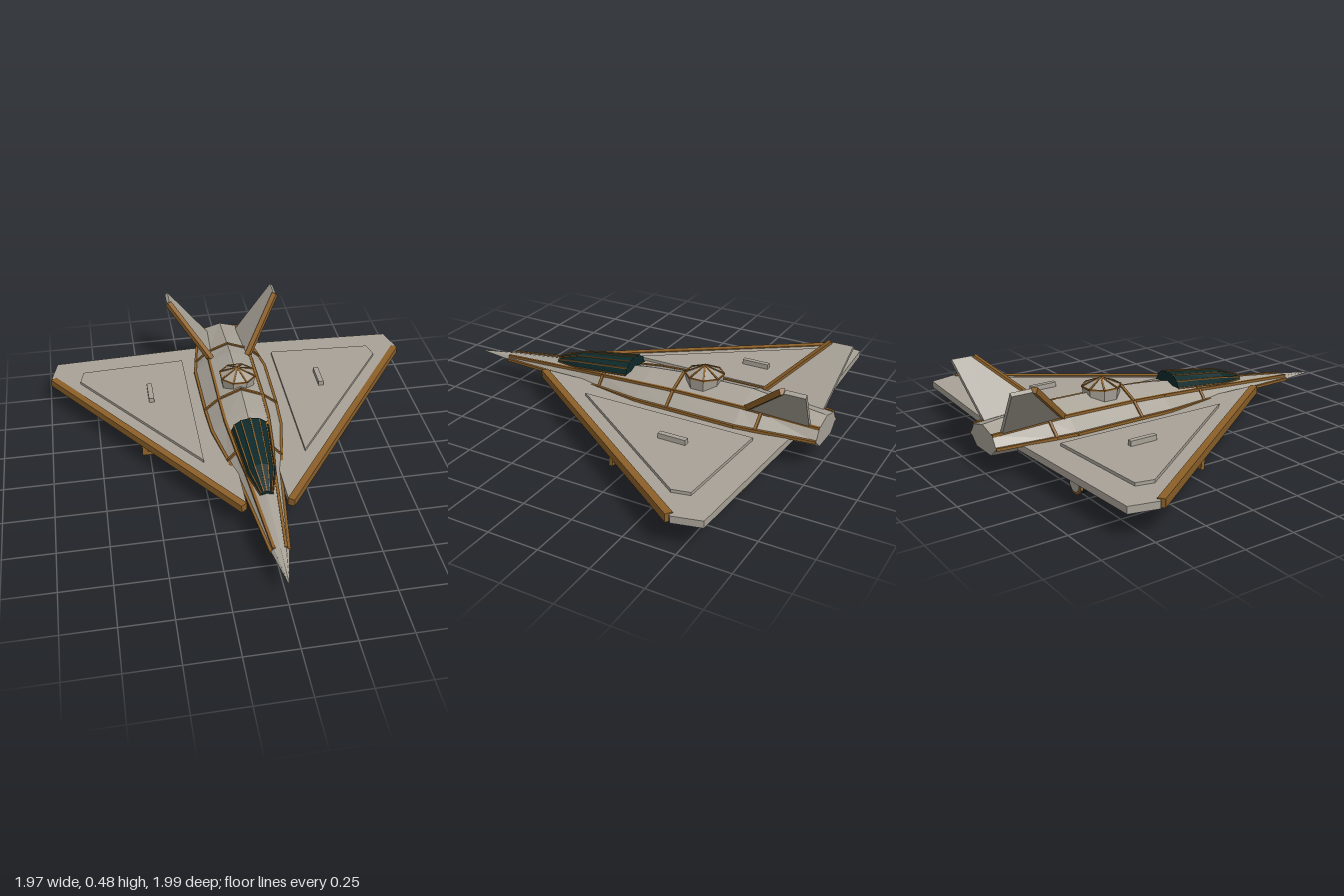
import * as THREE from 'three';

const mat = (name, color) => {
  const m = new THREE.MeshStandardMaterial({ color, flatShading: true });
  m.name = name;
  return m;
};

export function createModel() {
  const hull = mat('hull grey', 0xa8a297);
  const bronze = mat('bronze trim', 0x8c6029);
  const dark = mat('dark teal', 0x0e2a2b);
  const root = new THREE.Group();
  root.name = 'deltaJet';
  const V = (x, y, z) => new THREE.Vector3(x, y, z);

  const add = (name, geo, material, x = 0, y = 0, z = 0) => {
    const m = new THREE.Mesh(geo, material);
    m.name = name;
    m.position.set(x, y, z);
    root.add(m);
    return m;
  };
  const box = (name, material, w, h, d, x, y, z) => add(name, new THREE.BoxGeometry(w, h, d), material, x, y, z);

  // straight strip between two points
  const bar = (name, a, b, w, h = w, material = bronze) => {
    const m = box(name, material, w, h, a.distanceTo(b), 0, 0, 0);
    m.position.copy(a).add(b).multiplyScalar(0.5);
    m.lookAt(b);
    return m;
  };
  const path = (name, pts, w) => pts.slice(1).forEach((p, i) => bar(name, pts[i], p, w));

  // skin over rings ordered front to back, each counter-clockwise from the front
  const loft = (rings) => {
    const out = [], n = rings[0].length;
    const tri = (...ps) => ps.forEach((p) => out.push(p.x, p.y, p.z));
    for (let i = 0; i < rings.length - 1; i++) {
      for (let j = 0; j < n; j++) {
        const k = (j + 1) % n, A = rings[i], B = rings[i + 1];
        tri(A[j], B[j], A[k]);
        tri(A[k], B[j], B[k]);
      }
    }
    const F = rings[0], R = rings[rings.length - 1];
    for (let j = 1; j < n - 1; j++) {
      tri(F[0], F[j], F[j + 1]);
      tri(R[0], R[j + 1], R[j]);
    }
    const g = new THREE.BufferGeometry();
    g.setAttribute('position', new THREE.Float32BufferAttribute(out, 3));
    g.computeVertexNormals();
    return g;
  };

  // flat plate: outline in (distance along u, z), thickness centred on the origin plane
  const plate = (name, outline, t, u, origin) => {
    const shape = new THREE.Shape(outline.map(([s, z]) => new THREE.Vector2(s, z)));
    const g = new THREE.ExtrudeGeometry(shape, { depth: t, bevelEnabled: false });
    g.translate(0, 0, -t / 2);
    const zAxis = V(0, 0, 1);
    g.applyMatrix4(new THREE.Matrix4().makeBasis(u, zAxis, u.clone().cross(zAxis)));
    return add(name, g, hull, origin.x, origin.y, origin.z);
  };

  // fuselage: z, ridge y, shoulder x y, side x y, bottom x y
  const sections = [
    [0.99, 0.122, 0.002, 0.121, 0.002, 0.12, 0.001, 0.118],
    [0.79, 0.15, 0.028, 0.143, 0.042, 0.127, 0.02, 0.115],
    [0.3, 0.213, 0.07, 0.188, 0.104, 0.147, 0.06, 0.11],
    [0.155, 0.235, 0.09, 0.205, 0.135, 0.156, 0.08, 0.11],
    [-0.08, 0.268, 0.112, 0.225, 0.18, 0.165, 0.105, 0.11],
    [-0.26, 0.282, 0.115, 0.233, 0.19, 0.17, 0.11, 0.11],
    [-0.62, 0.285, 0.115, 0.235, 0.195, 0.17, 0.11, 0.11],
    [-0.72, 0.273, 0.11, 0.23, 0.18, 0.168, 0.1, 0.11],
    [-1.0, 0.24, 0.095, 0.214, 0.13, 0.16, 0.075, 0.113],
  ];
  const rings = sections.map(([z, ty, sx, sy, wx, wy, bx, by]) => [
    V(0, ty, z), V(-sx, sy, z), V(-wx, wy, z), V(-bx, by, z),
    V(bx, by, z), V(wx, wy, z), V(sx, sy, z),
  ]);
  add('fuselage', loft(rings), hull);

  // trim along the hull edges and hoops around it
  for (const j of [1, 2, 5, 6]) path('hullEdgeTrim', rings.slice(1).map((r) => r[j]), 0.014);
  for (const i of [3, 5, 7]) path('hullHoop', [...rings[i], rings[i][0]], 0.014);

  // faceted canopy with lengthwise ribs
  const canopy = [[0.47, 0.03, 0.185, 0.02], [0.33, 0.068, 0.198, 0.06], [0.02, 0.095, 0.238, 0.064]].map(
    ([z, rx, y, h]) => Array.from({ length: 7 }, (_, i) => {
      const a = (i / 6) * Math.PI;
      return V(rx * Math.cos(a), y + h * Math.sin(a), z);
    }));
  add('canopy', loft(canopy), dark);
  for (let j = 0; j < 7; j++) path('canopyRib', canopy.map((r) => r[j]), 0.006);

  // octagonal dorsal dome
  const dz = -0.37, turn = Math.PI / 8;
  const drum = add('domeBase', new THREE.CylinderGeometry(0.095, 0.088, 0.06, 8), hull, 0, 0.275, dz);
  const cone = add('domeRoof', new THREE.CylinderGeometry(0.012, 0.095, 0.038, 8), hull, 0, 0.324, dz);
  drum.rotation.y = cone.rotation.y = turn;
  const corner = (i) => V(0.095 * Math.cos(i * 2 * turn + turn), 0.305, dz + 0.095 * Math.sin(i * 2 * turn + turn));
  for (let i = 0; i < 8; i++) {
    bar('domeRib', corner(i), V(0, 0.344, dz), 0.009);
    bar('domeRim', corner(i), corner(i + 1), 0.007);
  }

  // belly panel
  box('bellyPanel', dark, 0.17, 0.016, 0.47, 0, 0.064, -0.235);
  box('bellyPanelStrip', bronze, 0.01, 0.006, 0.47, 0, 0.054, -0.235);

  for (const s of [1, -1]) {
    // delta wing, leading edge, raised panel and its small block
    const out = V(s, 0, 0);
    plate('wing', [[0.1, 0.49], [0.97, -0.7], [0.98, -0.71], [0.945, -0.845], [0.1, -0.884]], 0.034, out, V(0, 0.143, 0));
    bar('wingLeadingEdge', V(s * 0.112, 0.145, 0.5), V(s * 0.97, 0.145, -0.7), 0.036, 0.04);
    plate('wingPanel', [[0.255, 0.155], [0.825, -0.63], [0.805, -0.715], [0.255, -0.745]], 0.018, out, V(0, 0.166, 0));
    box('wingBlock', hull, 0.027, 0.03, 0.14, s * 0.46, 0.185, -0.443);

    // canted tail fin
    const up = V(s * 0.2, 0.235, 0).normalize();
    const base = V(s * 0.102, 0.23, 0);
    plate('tailFin', [[-0.02, -0.63], [0.309, -0.9], [0.309, -1.0], [-0.02, -0.952]], 0.02, up, base);
    bar('finLeadingEdge', V(s * 0.102, 0.232, -0.645), V(s * 0.301, 0.464, -0.89), 0.028);

    // engine pod
    const x = s * 0.46, py = 0.068;
    box('podBody', hull, 0.14, 0.115, 0.545, x, 0.0725, -0.443);
    box('podIntakeFrame', bronze, 0.158, 0.127, 0.02, x, 0.0635, -0.162);
    box('podIntake', dark, 0.108, 0.096, 0.006, x, 0.073, -0.151);
    for (const e of [1, -1]) box('podStrip', hull, 0.008, 0.012, 0.33, x + e * 0.072, 0.092, -0.435);
    const round = (name, r1, r2, len, z, m) => {
      const g = new THREE.CylinderGeometry(r1, r2, len, 8);
      g.rotateY(turn);
      g.rotateX(Math.PI / 2);
      add(name, g, m, x, py, z);
    };
    round('podNozzle', 0.046, 0.051, 0.085, -0.747, dark);
    round('podNozzleRing', 0.053, 0.053, 0.012, -0.791, bronze);
    round('podNozzleCap', 0.042, 0.042, 0.006, -0.797, hull);
  }
  return root;
}
